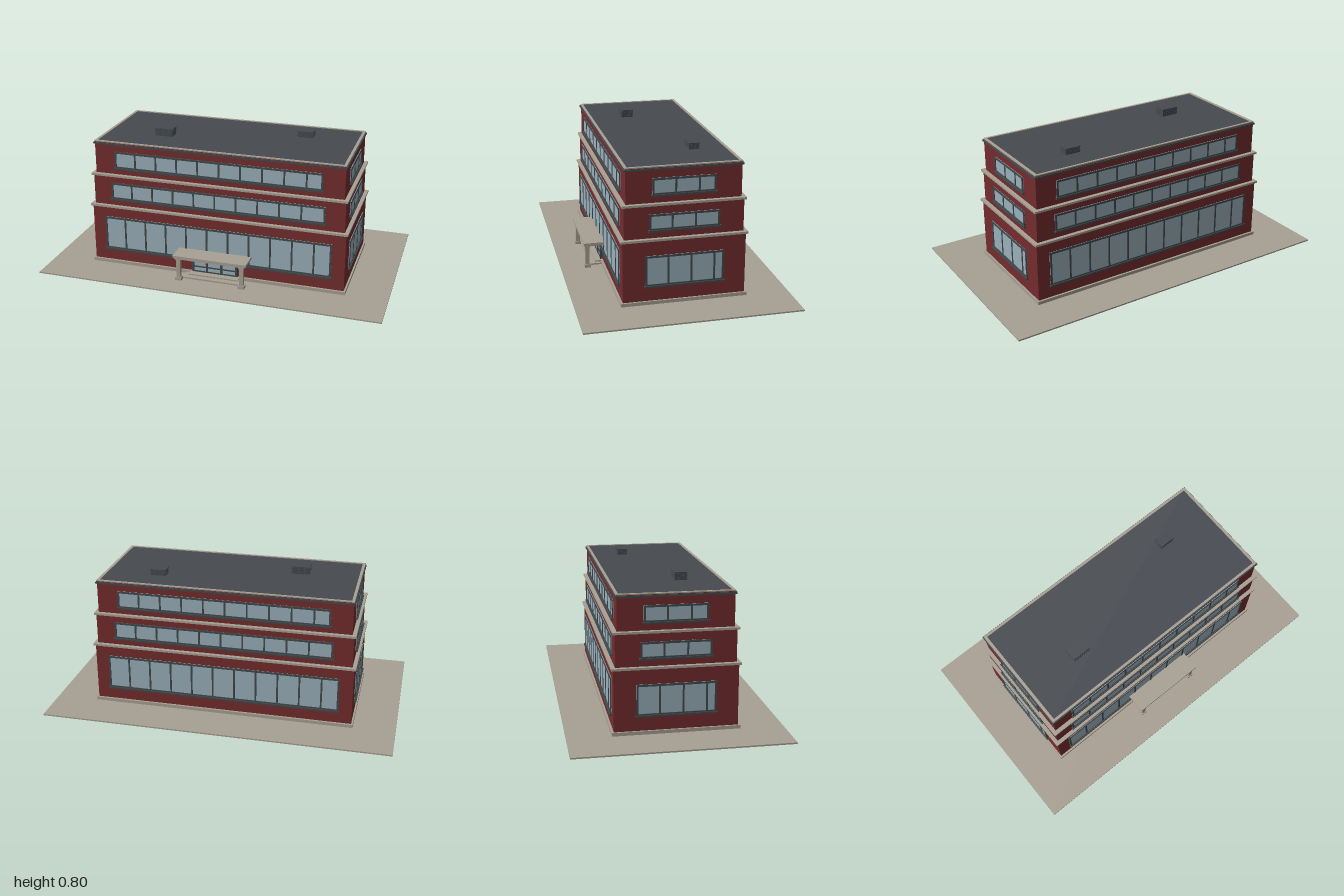
import * as THREE from 'three';

const mat = (name, color) => {
  const m = new THREE.MeshStandardMaterial({ color });
  m.name = name;
  return m;
};

export function createModel() {
  const root = new THREE.Group();
  root.name = 'officeBuilding';
  const brick = mat('brick red', 0x742c2e);
  const stone = mat('warm stone', 0xa8a093);
  const glass = mat('pale blue glass', 0x9ab0bc);
  const frame = mat('dark window frame', 0x434a4d);
  const roofing = mat('roof grey', 0x464a50);

  // Box given by its lower and upper limits on each axis
  const box = (parent, name, m, x0, x1, y0, y1, z0, z1) => {
    const mesh = new THREE.Mesh(new THREE.BoxGeometry(x1 - x0, y1 - y0, z1 - z0), m);
    mesh.position.set((x0 + x1) / 2, (y0 + y1) / 2, (z0 + z1) / 2);
    mesh.name = name;
    parent.add(mesh);
    return mesh;
  };
  const slab = (name, m, hx, hz, y0, y1) => box(root, name, m, -hx, hx, y0, y1, -hz, hz);

  // Ribbon window facing +z at z = 0: panes at a fixed pitch, remainder at the right end
  const ribbonWindow = (name, half, y0, y1) => {
    const g = new THREE.Group();
    g.name = name;
    const t = 0.011, pitch = 0.125;
    box(g, 'glazing', glass, -half, half, y0, y1, 0, 0.003);
    box(g, 'frameTop', frame, -half, half, y1 - t, y1, 0, 0.007);
    box(g, 'frameBottom', frame, -half, half, y0, y0 + t, 0, 0.007);
    for (const s of [-1, 1]) {
      const x = s * (half - t / 2);
      box(g, 'frameSide', frame, x - t / 2, x + t / 2, y0, y1, 0, 0.007);
    }
    for (let x = -half + pitch; x < half - 0.03; x += pitch)
      box(g, 'mullion', frame, x - 0.005, x + 0.005, y0, y1, 0, 0.006);
    box(g, 'sill', frame, -half - 0.006, half + 0.006, y0 - 0.006, y0 + 0.004, 0, 0.013);
    return g;
  };

  // Ground and plinth
  slab('ground', stone, 1, 0.583, 0, 0.008);
  slab('plinth', stone, 0.76, 0.345, 0.008, 0.027);

  // Three storeys, each set back a little, with ribbon windows on all four sides
  const storeys = [
    { hx: 0.75, hz: 0.333, y0: 0.027, y1: 0.363, long: [0.675, 0.1, 0.302], short: [0.214, 0.11, 0.281] },
    { hx: 0.739, hz: 0.322, y0: 0.375, y1: 0.552, long: [0.63, 0.414, 0.514], short: [0.19, 0.417, 0.506] },
    { hx: 0.728, hz: 0.31, y0: 0.563, y1: 0.739, long: [0.608, 0.601, 0.702], short: [0.17, 0.606, 0.697] },
  ];
  storeys.forEach((s, i) => {
    slab('storeyWalls' + (i + 1), brick, s.hx, s.hz, s.y0, s.y1);
    if (i < 2) slab('ledge' + (i + 1), stone, s.hx + 0.011, s.hz + 0.011, s.y1, s.y1 + 0.012);
    for (let k = 0; k < 4; k++) {
      const onSide = k % 2 === 1;
      const w = ribbonWindow(['front', 'left', 'back', 'right'][k] + 'Window' + (i + 1), ...(onSide ? s.short : s.long));
      w.rotation.y = k * Math.PI / 2;
      const d = onSide ? s.hx : s.hz;
      w.position.set(Math.sin(w.rotation.y) * d, 0, Math.cos(w.rotation.y) * d);
      root.add(w);
    }
  });

  // Cornice, parapet, roof deck and coping
  slab('cornice', frame, 0.735, 0.318, 0.739, 0.749);
  slab('parapet', brick, 0.728, 0.312, 0.749, 0.753);
  slab('roofDeck', roofing, 0.714, 0.299, 0.753, 0.755);
  for (const s of [-1, 1]) {
    const z = s * 0.306, x = s * 0.722;
    box(root, 'copingLong', stone, -0.73, 0.73, 0.753, 0.759, z - 0.007, z + 0.007);
    box(root, 'copingShort', stone, x - 0.008, x + 0.008, 0.753, 0.759, -0.299, 0.299);
  }

  // Louvred rooftop units
  const rooftopUnit = (x0, x1, top, z0, z1) => {
    const g = new THREE.Group();
    g.name = 'rooftopUnit';
    const y0 = 0.755, e = 0.003, n = 4;
    box(g, 'unitBody', roofing, x0 + e, x1 - e, y0, top - 0.004, z0 + e, z1 - e);
    box(g, 'unitCap', roofing, x0, x1, top - 0.005, top, z0, z1);
    for (let i = 0; i < n; i++) {
      const y = y0 + 0.004 + i * (top - y0 - 0.008) / n;
      box(g, 'louvre', frame, x0 + 0.001, x1 - 0.001, y, y + 0.004, z0 + 0.001, z1 - 0.001);
    }
    root.add(g);
  };
  rooftopUnit(-0.433, -0.325, 0.8, 0.047, 0.12);
  rooftopUnit(0.367, 0.46, 0.791, -0.155, -0.094);

  // Entrance doors
  const doors = new THREE.Group();
  doors.name = 'entranceDoors';
  root.add(doors);
  const zf = 0.333;
  box(doors, 'doorGlass', glass, -0.13, 0.13, 0.027, 0.133, zf, zf + 0.009);
  for (const x of [-0.13, -0.047, 0.04, 0.13])
    box(doors, 'doorPost', frame, x - 0.006, x + 0.006, 0.027, 0.133, zf, zf + 0.014);
  for (const y of [0.03, 0.06, 0.095, 0.13])
    box(doors, 'doorRail', frame, -0.13, 0.13, y - 0.004, y + 0.004, zf, zf + 0.012);

  // Entrance porch: steps, columns and canopy
  box(root, 'upperStep', stone, -0.15, 0.15, 0.008, 0.025, zf, 0.38);
  box(root, 'lowerStep', stone, -0.17, 0.17, 0.008, 0.017, zf, 0.412);
  for (const x of [-0.187, 0.187]) {
    box(root, 'columnBase', stone, x - 0.018, x + 0.018, 0.008, 0.026, 0.413, 0.448);
    box(root, 'columnShaft', stone, x - 0.012, x + 0.012, 0.026, 0.132, 0.419, 0.443);
    box(root, 'columnCapital', stone, x - 0.015, x + 0.015, 0.132, 0.141, 0.416, 0.446);
  }
  box(root, 'canopyBeam', stone, -0.208, 0.208, 0.141, 0.149, zf, 0.447);
  box(root, 'canopy', stone, -0.217, 0.217, 0.149, 0.163, zf, 0.453);

  return root;
}
